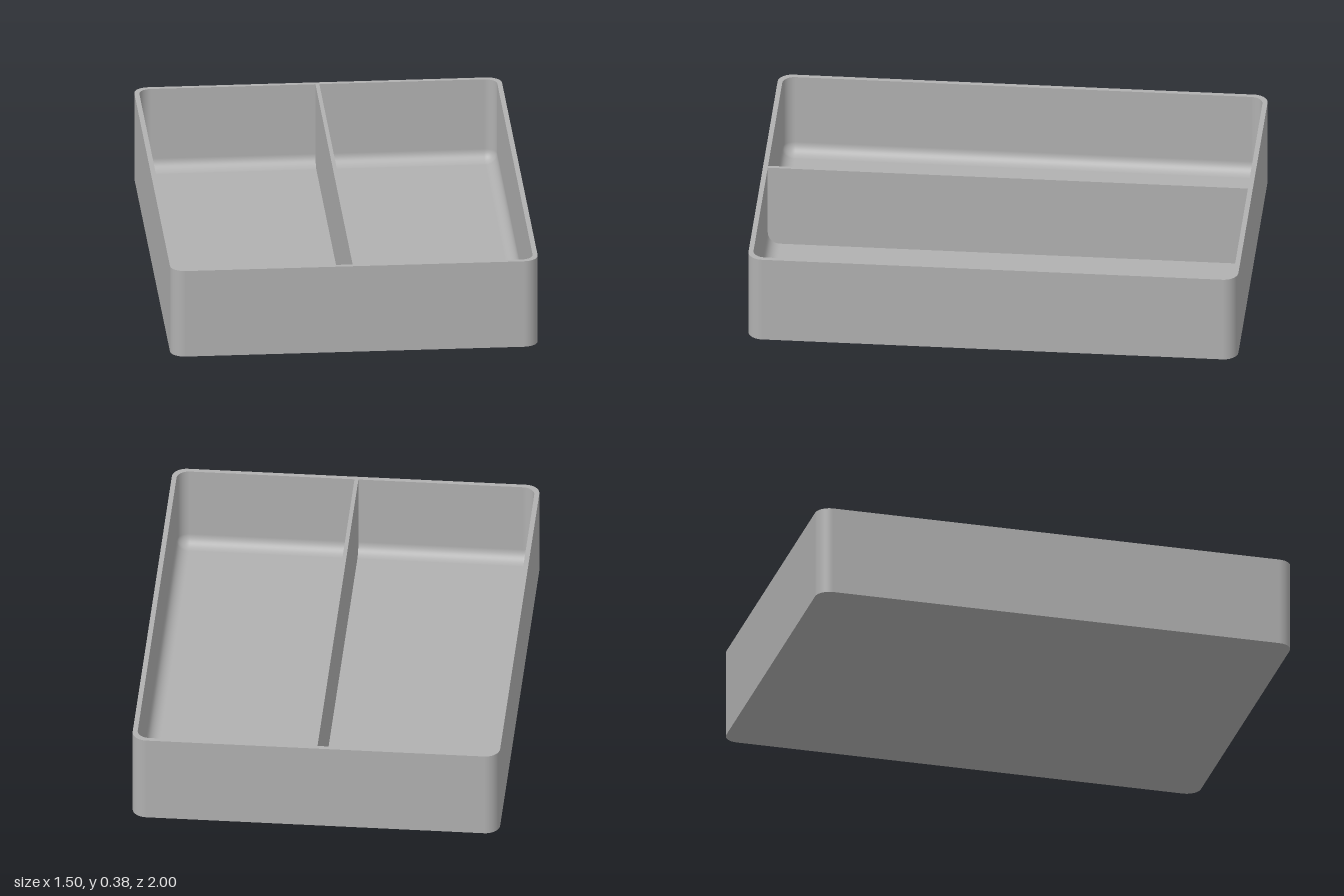
import * as THREE from 'three';

const W = 0.75, L = 1, H = 0.375; // half width, half length, height
const WALL = 0.02, FLOOR = 0.02, DIVIDER = 0.016;
const R_OUT = 0.06, R_IN = 0.05; // corner radii; the floor fillet shares the inner one
const STEPS = 10;

// One rounded-rectangle ring: half sizes, corner radius, height, and normal tilt (h outward, v up)
function ring(w, l, r, y, h, v) {
  const pos = [], nor = [];
  for (let q = 0; q < 4; q++) {
    const sx = q === 0 || q === 3 ? 1 : -1, sz = q < 2 ? 1 : -1;
    for (let i = 0; i <= STEPS; i++) {
      const a = (q + i / STEPS) * Math.PI / 2, c = Math.cos(a), s = Math.sin(a);
      pos.push(sx * (w - r) + r * c, y, sz * (l - r) + r * s);
      nor.push(h * c, v, h * s);
    }
  }
  return { pos, nor };
}

// Joins strips of rings into one shell; separate strips keep their edges sharp
function skin(strips) {
  const pos = [], nor = [], index = [], n = 4 * (STEPS + 1);
  for (const rings of strips) {
    const base = pos.length / 3;
    for (const r of rings) { pos.push(...r.pos); nor.push(...r.nor); }
    for (let j = 0; j < rings.length - 1; j++) {
      for (let i = 0; i < n; i++) {
        const k = (i + 1) % n, lo = base + j * n, hi = lo + n;
        index.push(lo + i, hi + i, lo + k, lo + k, hi + i, hi + k);
      }
    }
  }
  const g = new THREE.BufferGeometry();
  g.setAttribute('position', new THREE.Float32BufferAttribute(pos, 3));
  g.setAttribute('normal', new THREE.Float32BufferAttribute(nor, 3));
  g.setIndex(index);
  return g;
}

export function createModel() {
  const group = new THREE.Group();
  group.name = 'dividedTray';
  const grey = new THREE.MeshStandardMaterial({ color: 0xb0b0b0 });
  grey.name = 'grey';

  const add = (name, geometry) => {
    const mesh = new THREE.Mesh(geometry, grey);
    mesh.name = name;
    group.add(mesh);
    return mesh;
  };
  const w = W - WALL, l = L - WALL;

  // Inner wall running down into the rounded floor edge
  const inside = [ring(w, l, R_IN, H, -1, 0)];
  for (let i = 0; i <= STEPS; i++) {
    const t = i / STEPS * Math.PI / 2, c = Math.cos(t), s = Math.sin(t);
    const inset = R_IN * (1 - c);
    inside.push(ring(w - inset, l - inset, R_IN * c, FLOOR + R_IN * (1 - s), -c, s));
  }

  add('outerWall', skin([[ring(W, L, R_OUT, 0, 1, 0), ring(W, L, R_OUT, H, 1, 0)]]));
  add('rim', skin([[ring(W, L, R_OUT, H, 0, 1), ring(w, l, R_IN, H, 0, 1)]]));
  add('innerWall', skin([inside]));
  add('floor', skin([[ring(w - R_IN, l - R_IN, 0, FLOOR, 0, 1), ring(0, 0, 0, FLOOR, 0, 1)]]));
  add('underside', skin([[ring(0, 0, 0, 0, 0, -1), ring(W, L, R_OUT, 0, 0, -1)]]));

  // Lengthwise divider, level with the rim
  const height = H - FLOOR;
  add('divider', new THREE.BoxGeometry(DIVIDER, height, 2 * l)).position.y = FLOOR + height / 2;

  return group;
}
